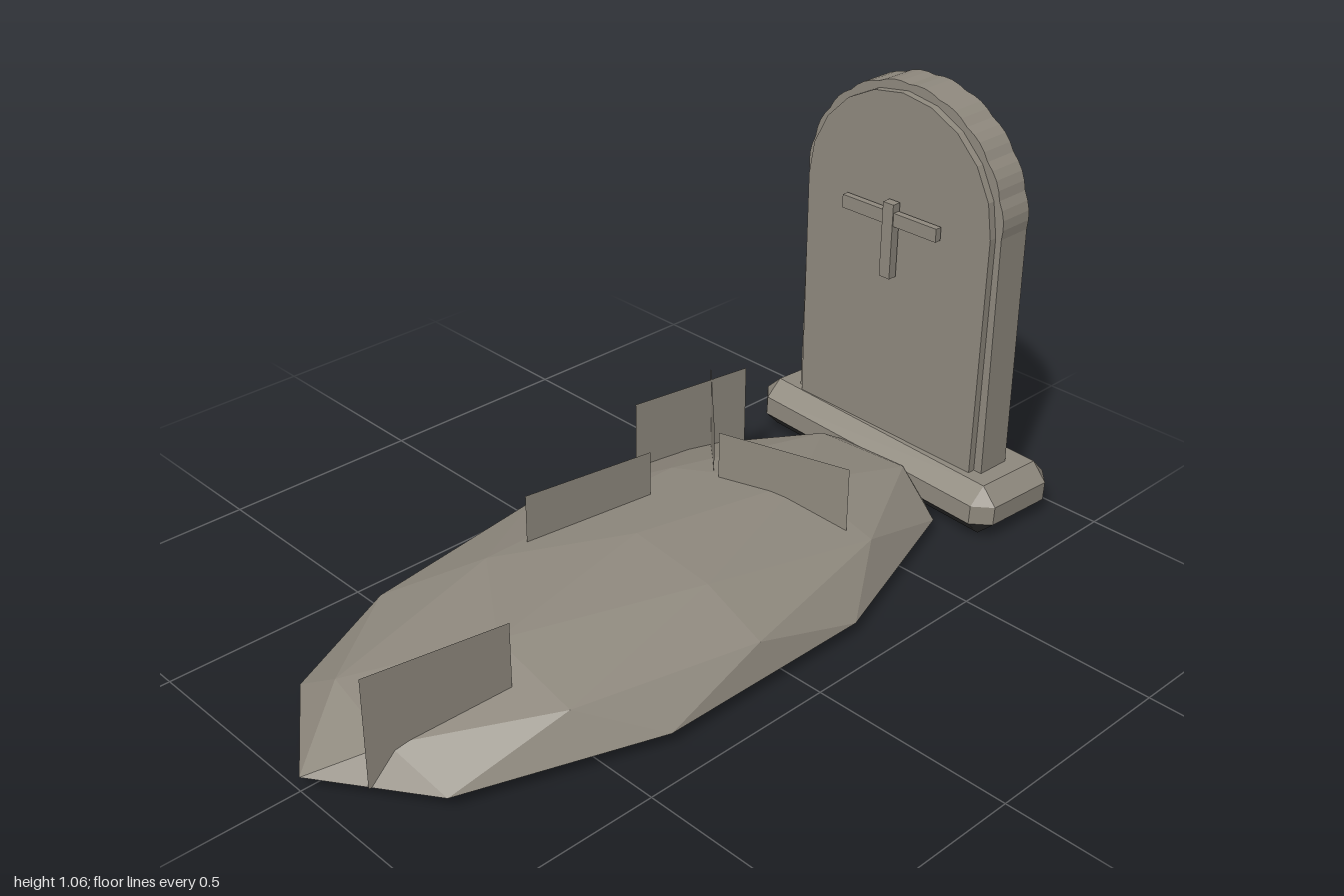
import * as THREE from 'three';
import { ConvexGeometry } from 'three/addons/geometries/ConvexGeometry.js';

function material(name, color) {
  const m = new THREE.MeshStandardMaterial({ color, flatShading: true, side: THREE.DoubleSide });
  m.name = name;
  return m;
}
const stone = material('weathered stone', 0x8f897e);
const shadowed = material('dark underside', 0x343434);

function add(group, name, geometry, x = 0, y = 0, z = 0, mat = stone) {
  const mesh = new THREE.Mesh(geometry, mat);
  mesh.name = name;
  mesh.position.set(x, y, z);
  group.add(mesh);
  return mesh;
}

// Gives the downward faces of an unindexed geometry the second material
function groupUnderside(geometry) {
  geometry.computeVertexNormals();
  const n = geometry.attributes.normal;
  for (let i = 0; i < n.count; i += 3) geometry.addGroup(i, 3, n.getY(i) < -0.4 ? 1 : 0);
  return geometry;
}

// Box with every edge cut at 45 degrees
function chamferedBox(w, h, d, c) {
  const points = [];
  for (const sx of [-1, 1]) for (const sy of [-1, 1]) for (const sz of [-1, 1]) {
    for (const [a, b, e] of [[0, c, c], [c, 0, c], [c, c, 0]]) {
      points.push(new THREE.Vector3(sx * (w / 2 - a), sy * (h / 2 - b), sz * (d / 2 - e)));
    }
  }
  return new ConvexGeometry(points);
}

// Round-topped slab; the arch has ten facets, each swelling outward by bulge
function archSlab(halfWidth, radius, bulge, depth) {
  const bottom = 0.1, spring = 0.757, facets = 10, steps = bulge ? 4 : 1;
  const shape = new THREE.Shape();
  shape.moveTo(-halfWidth, bottom);
  shape.lineTo(halfWidth, bottom);
  for (let i = 0; i <= facets * steps; i++) {
    const a = (i / (facets * steps)) * Math.PI;
    const r = radius + bulge * Math.sin(((i % steps) / steps) * Math.PI);
    shape.lineTo(r * Math.cos(a), spring + r * Math.sin(a));
  }
  shape.lineTo(-halfWidth, bottom);
  return new THREE.ExtrudeGeometry(shape, { depth, bevelEnabled: false });
}

export function createModel() {
  const model = new THREE.Group();
  model.name = 'grave';

  // Mound: faceted dome with a nearly flat dark underside
  const dome = new THREE.IcosahedronGeometry(1, 1);
  dome.rotateZ(-Math.atan(2 / (1 + Math.sqrt(5))));
  const p = dome.attributes.position;
  for (let i = 0; i < p.count; i++) if (p.getY(i) < 0) p.setY(i, p.getY(i) * 0.03);
  dome.scale(0.435, 0.173, 0.925);
  add(model, 'mound', groupUnderside(dome), 0, 0.035, 0.075, [stone, shadowed]);

  // Plinth, slightly askew, with dark underside and lower chamfers
  const plinth = add(model, 'plinth', groupUnderside(chamferedBox(0.78, 0.133, 0.275, 0.042)),
    -0.006, 0.077, -0.853, [stone, shadowed]);
  plinth.rotation.set(-0.025, -0.03, -0.025);

  // Headstone: scalloped rim around a thicker core
  add(model, 'headstoneRim', archSlab(0.3, 0.297, 0.005, 0.095), 0, 0, -0.885);
  add(model, 'headstoneCore', archSlab(0.277, 0.281, 0, 0.135), 0, 0, -0.905);

  // Cross on the front face
  const cross = new THREE.Group();
  cross.name = 'cross';
  model.add(cross);
  add(cross, 'crossUpright', new THREE.BoxGeometry(0.032, 0.193, 0.024), 0, 0.675, -0.752);
  add(cross, 'crossArm', new THREE.BoxGeometry(0.29, 0.034, 0.018), 0, 0.733, -0.752);

  // Upright grass cards, each from (x1, z1) to (x2, z2)
  const cards = [
    [0.125, 0.92, 0.18, 0.59],
    [-0.17, 0.255, -0.12, -0.08],
    [-0.31, -0.21, -0.26, -0.54],
    [-0.34, -0.495, -0.09, -0.26],
    [-0.075, -0.26, 0.25, -0.355],
  ];
  for (const [x1, z1, x2, z2] of cards) {
    const card = add(model, 'grassCard', new THREE.PlaneGeometry(Math.hypot(x2 - x1, z2 - z1), 0.27),
      (x1 + x2) / 2, 0.17, (z1 + z2) / 2);
    card.rotation.y = Math.atan2(z1 - z2, x2 - x1);
  }
  return model;
}
